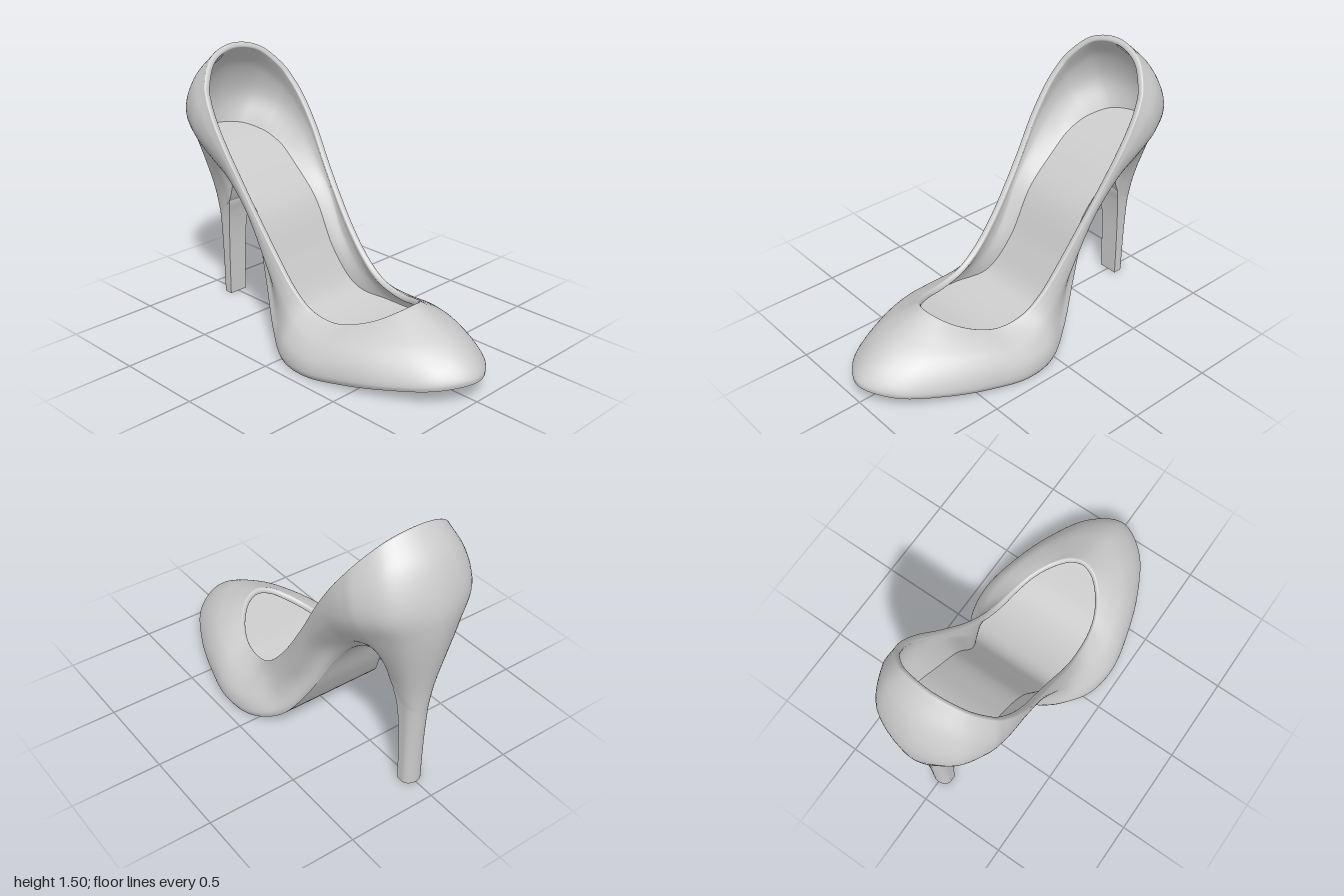
import * as THREE from 'three';

const V = (p) => new THREE.Vector3(...p);
const material = new THREE.MeshStandardMaterial({ color: 0xcccccc, side: THREE.DoubleSide });

// Guide curves from toe centre, along the +x side, to heel centre (15 stations each)
const SOLE = [
  [0, .11, 1], [.18, .09, .9], [.314, .057, .67], [.39, .024, .44], [.43, .001, .22], [.405, .01, .03], [.32, .082, -.13],
  [.235, .3, -.275], [.165, .56, -.4], [.125, .71, -.52], [.11, .763, -.63], [.097, .73, -.695], [.083, .6, -.757],
  [.058, .5, -.87], [0, .48, -.902]];
const LOWER = [
  [0, .2, .945], [.17, .178, .862], [.308, .152, .655], [.392, .13, .435], [.438, .1, .22], [.41, .115, .04], [.322, .17, -.105],
  [.253, .37, -.235], [.233, .652, -.382], [.231, .803, -.54], [.237, .878, -.645], [.237, .912, -.71], [.23, .942, -.78],
  [.165, .982, -.923], [0, 1, -.99]];
const MIDDLE = [
  [0, .268, .84], [.15, .253, .765], [.265, .228, .615], [.345, .205, .42], [.385, .178, .23], [.365, .2, .065], [.322, .27, -.055],
  [.3, .435, -.195], [.305, .72, -.355], [.32, .92, -.52], [.331, 1.015, -.635], [.329, 1.055, -.7], [.318, 1.095, -.77],
  [.23, 1.16, -.917], [0, 1.18, -.987]];
const UPPER = [
  [0, .325, .7], [.12, .31, .65], [.21, .282, .55], [.28, .25, .405], [.32, .222, .245], [.322, .245, .08], [.308, .32, -.025],
  [.304, .485, -.165], [.32, .77, -.34], [.34, .985, -.495], [.347, 1.11, -.61], [.342, 1.165, -.67], [.327, 1.22, -.735],
  [.222, 1.33, -.85], [0, 1.375, -.908]];
const RIM = [
  [0, .374, .57], [.082, .358, .548], [.155, .32, .485], [.215, .282, .39], [.257, .256, .265], [.28, .28, .11], [.29, .355, -.005],
  [.297, .515, -.145], [.316, .8, -.335], [.338, 1.03, -.48], [.333, 1.19, -.582], [.318, 1.265, -.633], [.288, 1.34, -.682],
  [.175, 1.457, -.755], [0, 1.499, -.783]];

// Row above the sole: a rounded edge along the foot, a narrowing neck at the heel
const WELT = SOLE.map((p, i) => {
  const { x, y, z } = V(p).lerp(V(LOWER[i]), 0.3);
  return i < 10 ? [x * 1.03, y, z * 1.015] : [x * 0.9, y, z * 0.993];
});

const COLS = 196, ROWS = 30, THICK = 0.035, INSOLE_ROW = 12;

// Smooth surface through a grid of points, optionally wrapping around
function surface(rows, wrap = false) {
  const n = rows[0].length, index = [];
  for (let i = 0; i < rows.length - 1; i++) {
    for (let j = 0; j < (wrap ? n : n - 1); j++) {
      const k = (j + 1) % n;
      const a = i * n + j, b = i * n + k, c = a + n, d = b + n;
      index.push(a, b, d, a, d, c);
    }
  }
  const g = new THREE.BufferGeometry().setFromPoints(rows.flat());
  g.setIndex(index);
  g.computeVertexNormals();
  return g;
}

// Strips spanning a symmetric loop from +x to -x, or the other way when flipped
function bridge(loop, flip = false) {
  const rows = [];
  for (let k = 0; k <= loop.length / 2; k++) {
    const pair = [loop[k], loop[(loop.length - k) % loop.length]];
    rows.push(flip ? pair.reverse() : pair);
  }
  return surface(rows);
}

// Closed smooth loop from a half guide and its mirror image
function mirroredLoop(half) {
  const other = half.slice(1, -1).reverse().map(([x, y, z]) => [-x, y, z]);
  const curve = new THREE.CatmullRomCurve3([...half, ...other].map(V), true);
  return Array.from({ length: COLS }, (_, j) => curve.getPoint(j / COLS));
}

function buildBody() {
  const loops = [SOLE, WELT, LOWER, MIDDLE, UPPER, RIM].map(mirroredLoop);
  const sections = loops[0].map((_, j) => new THREE.CatmullRomCurve3(loops.map((l) => l[j])));
  const outer = [];
  for (let i = 0; i <= ROWS; i++) outer.push(sections.map((s) => s.getPoint(i / ROWS)));

  const normals = surface(outer, true).attributes.normal;
  const normal = (i, j) => new THREE.Vector3().fromBufferAttribute(normals, i * COLS + j);

  // Rounded lip over the rim
  const lip = [];
  for (let s = 1; s < 8; s++) {
    const a = (s / 8) * Math.PI;
    lip.push(outer[ROWS].map((p, j) => {
      const up = p.clone().sub(outer[ROWS - 1][j]).normalize();
      return p.clone().addScaledVector(normal(ROWS, j), (THICK / 2) * (Math.cos(a) - 1))
        .addScaledVector(up, THICK * 0.3 * Math.sin(a));
    }));
  }

  // Lining: the outer skin moved inwards, down to the insole
  const lining = [];
  for (let i = ROWS; i >= INSOLE_ROW; i--) {
    lining.push(outer[i].map((p, j) => p.clone().addScaledVector(normal(i, j), -THICK)));
  }
  return {
    upper: surface([...outer, ...lip, ...lining], true),
    sole: bridge(outer[0]),
    insole: bridge(lining[lining.length - 1], true),
  };
}

function buildHeel() {
  // Front corner edge and back centre edge, from the tip to just inside the neck
  const corner = new THREE.CatmullRomCurve3([
    [.057, 0, -.8], [.059, .2, -.797], [.063, .4, -.788], [.071, .52, -.773],
    [.082, .6, -.757], [.08, .67, -.77]].map(V));
  const back = new THREE.CatmullRomCurve3([
    [0, 0, -.88], [0, .2, -.884], [0, .4, -.894], [0, .52, -.903],
    [0, .6, -.91], [0, .67, -.905]].map(V));

  // D-shaped rings: straight sides, rounded back
  const rings = [];
  for (let i = 0; i <= 48; i++) {
    const f = corner.getPoint(i / 48), b = back.getPoint(i / 48);
    const mid = f.z + (b.z - f.z) * 0.45;
    const ring = [f];
    for (let k = 0; k <= 24; k++) {
      const a = (k / 24) * Math.PI;
      const y = f.y + (b.y - f.y) * Math.sin(a);
      ring.push(new THREE.Vector3(f.x * Math.cos(a), y, mid + (b.z - mid) * Math.sin(a)));
    }
    ring.push(new THREE.Vector3(-f.x, f.y, f.z));
    rings.push(ring);
  }
  const last = rings[0].length - 1;
  const tip = [];
  for (let k = 0; k <= last / 2; k++) tip.push([rings[0][k], rings[0][last - k]]);
  return {
    heelBack: surface(rings),
    heelBreast: surface(rings.map((r) => [r[last], r[0]])),
    heelTip: surface(tip),
  };
}

export function createModel() {
  const shoe = new THREE.Group();
  shoe.name = 'shoe';
  const heel = new THREE.Group();
  heel.name = 'heel';
  const addAll = (group, parts) => {
    for (const [name, geometry] of Object.entries(parts)) {
      const mesh = new THREE.Mesh(geometry, material);
      mesh.name = name;
      group.add(mesh);
    }
  };
  addAll(shoe, buildBody());
  addAll(heel, buildHeel());
  shoe.add(heel);
  return shoe;
}
